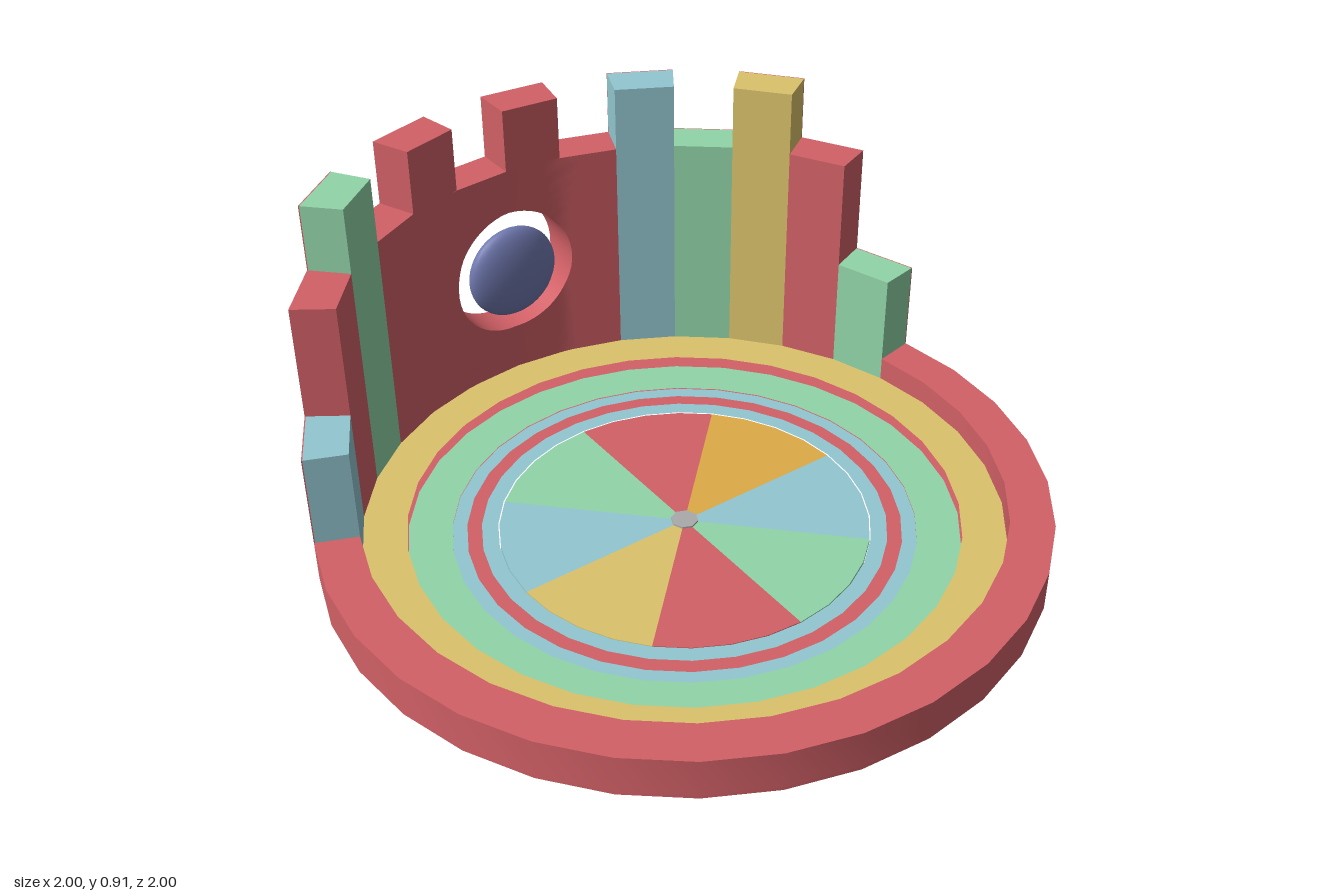
import * as THREE from 'three';
import { toCreasedNormals } from 'three/addons/utils/BufferGeometryUtils.js';

const SIDES = 32, STEP = (Math.PI * 2) / SIDES;
const RED = 0xd16066, YELLOW = 0xdbc36c, GREEN = 0x91d4a8, BLUE = 0x92c6d0, ORANGE = 0xddaa46, VIOLET = 0x7079b0;
const INNER = 0.88, OUTER = 1, FLOOR = 0.01;
const WALL = 0.72, MERLON = 0.91, LOW = 0.39;

const materials = {};
const paint = (color) => (materials[color] ??= new THREE.MeshStandardMaterial({ color }));

function add(group, name, geometry, color) {
  const mesh = new THREE.Mesh(toCreasedNormals(geometry, 0.5), paint(color));
  mesh.name = name;
  group.add(mesh);
  return mesh;
}

// Ring or ring sector; step 0 points to the back and steps run towards +x
function ring(r0, r1, y0, y1, start = 0, count = SIDES) {
  const arc = (r) => Array.from({ length: count + 1 }, (_, i) => {
    const a = (start + i) * STEP;
    return new THREE.Vector2(r * Math.sin(a), r * Math.cos(a));
  });
  let shape;
  if (count === SIDES) {
    shape = new THREE.Shape(arc(r1).slice(0, -1));
    shape.holes.push(new THREE.Path(arc(r0).slice(0, -1)));
  } else {
    shape = new THREE.Shape([...arc(r1), ...arc(r0).reverse()]);
  }
  const geo = new THREE.ExtrudeGeometry(shape, { depth: y1 - y0, bevelEnabled: false });
  return geo.rotateX(-Math.PI / 2).translate(0, y0, 0);
}

// Depth of the faceted wall of radius r at a given x, near the back
function wallZ(r, x) {
  const k = Math.min(1, Math.floor(Math.abs(x) / (r * Math.sin(STEP)) + 1e-6));
  const xa = r * Math.sin(k * STEP), xb = r * Math.sin((k + 1) * STEP);
  const t = (Math.abs(x) - xa) / (xb - xa);
  return -r * THREE.MathUtils.lerp(Math.cos(k * STEP), Math.cos((k + 1) * STEP), t);
}

// Four wall facets pierced by a round window, as a closed loop of cross-sections
function windowWall(radius, cy) {
  const n = 16, rows = 10, w = INNER * Math.sin(2 * STEP);
  const corners = [[w, FLOOR], [w, WALL], [-w, WALL], [-w, FLOOR]];
  const points = [], index = [];
  for (let s = 0; s < 4; s++) {
    const [a, b] = [corners[s], corners[(s + 1) % 4]];
    for (let i = 0; i < n; i++) {
      const x = THREE.MathUtils.lerp(a[0], b[0], i / n), y = THREE.MathUtils.lerp(a[1], b[1], i / n);
      const angle = Math.atan2(y - cy, x);
      const hx = radius * Math.cos(angle), hy = cy + radius * Math.sin(angle);
      for (let j = 0; j < rows * 2; j++) {
        const front = j < rows, r = front ? INNER : OUTER;
        const u = (front ? j : 2 * rows - 1 - j) / (rows - 1);
        const px = THREE.MathUtils.lerp((x * r) / INNER, hx, u);
        points.push(px, THREE.MathUtils.lerp(y, hy, u), wallZ(r, px));
      }
    }
  }
  const total = n * 4, m = rows * 2;
  for (let i = 0; i < total; i++) {
    for (let j = 0; j < m; j++) {
      const i2 = (i + 1) % total, j2 = (j + 1) % m;
      const a = i * m + j, b = i2 * m + j, c = i2 * m + j2, d = i * m + j2;
      index.push(a, b, c, a, c, d);
    }
  }
  const geo = new THREE.BufferGeometry();
  geo.setAttribute('position', new THREE.Float32BufferAttribute(points, 3));
  geo.setIndex(index);
  return geo;
}

export function createModel() {
  const model = new THREE.Group();
  model.name = 'roundCourt';

  // Base plate and raised rim around the open part
  add(model, 'basePlate', ring(0.64, OUTER, 0, FLOOR), RED);
  add(model, 'rim', ring(INNER, OUTER, FLOOR, 0.12, 7, 19), RED);

  // Stepped floor rings
  add(model, 'upperStep', ring(0.76, INNER, FLOOR, 0.05), YELLOW);
  add(model, 'lowerStep', ring(0.64, 0.76, FLOOR, 0.016), GREEN);
  add(model, 'outerBand', ring(0.6, 0.64, 0, 0.013), BLUE);
  add(model, 'middleBand', ring(0.56, 0.6, 0, 0.013), RED);
  add(model, 'innerBand', ring(0.515, 0.56, 0, 0.013), BLUE);

  // Eight coloured wedges around a small hub
  const wheel = new THREE.Group();
  wheel.name = 'wheel';
  model.add(wheel);
  [RED, ORANGE, BLUE, GREEN, RED, YELLOW, BLUE, GREEN].forEach((color, i) => {
    add(wheel, 'wedge', ring(0.03, 0.512, 0, 0.012, i * 4, 4), color);
  });
  add(wheel, 'hub', new THREE.CylinderGeometry(0.038, 0.038, 0.016, 8).translate(0, 0.009, 0), 0xaaaaaa);

  // Wall columns: [step, top, colour], each with a red outer skin
  const wall = new THREE.Group();
  wall.name = 'wall';
  model.add(wall);
  const columns = [
    [-6, LOW, BLUE], [-5, WALL, RED], [-4, MERLON, GREEN], [-3, WALL, RED],
    [2, MERLON, BLUE], [3, WALL, GREEN], [4, MERLON, YELLOW], [5, WALL, RED], [6, LOW, GREEN],
  ];
  for (const [step, top, color] of columns) {
    const skin = color === RED ? OUTER : 0.997;
    add(wall, 'column', ring(INNER, skin, FLOOR, top, step, 1), color);
    if (color !== RED) add(wall, 'columnSkin', ring(skin, OUTER, FLOOR, top, step, 1), RED);
  }
  // Rim-high strip left of the wall's low end
  add(wall, 'rimEnd', ring(INNER, OUTER, FLOOR, 0.12, 25, 1), RED);

  // Back wall with round window and two merlons
  add(wall, 'windowWall', windowWall(0.196, 0.39), RED);
  for (const step of [-2, 0]) add(wall, 'merlon', ring(INNER, OUTER, WALL, MERLON, step, 1), RED);

  // Flattened ball hanging in the window
  const ball = new THREE.Mesh(new THREE.SphereGeometry(0.145, 32, 20), paint(VIOLET));
  ball.name = 'windowBall';
  ball.scale.z = 0.34;
  ball.position.set(0, 0.39, -0.88);
  model.add(ball);

  return model;
}
